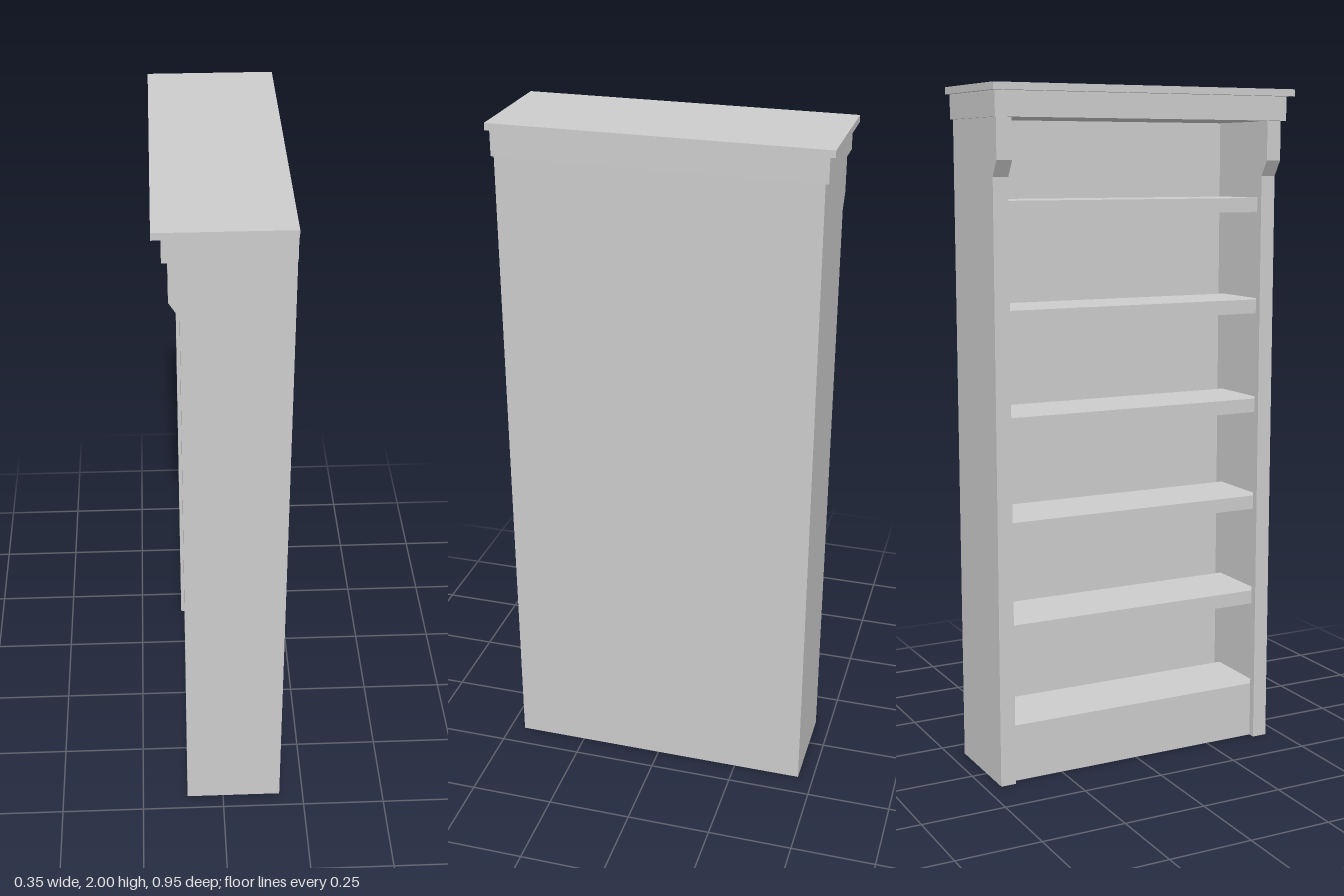
import * as THREE from 'three';

export function createModel() {
  const group = new THREE.Group();
  const paint = new THREE.MeshStandardMaterial({ color: 0xcccccc });
  paint.name = 'pale grey paint';

  const add = (name, geometry) => {
    const mesh = new THREE.Mesh(geometry, paint);
    mesh.name = name;
    group.add(mesh);
    return mesh;
  };
  // Box given by its limits on each axis
  const box = (name, x0, x1, y0, y1, z0, z1) =>
    add(name, new THREE.BoxGeometry(x1 - x0, y1 - y0, z1 - z0))
      .position.set((x0 + x1) / 2, (y0 + y1) / 2, (z0 + z1) / 2);

  const halfWidth = 0.454, inner = 0.431, postWidth = 0.046;
  const postFront = -0.111, shelfFront = -0.09, shelfBack = 0.137;
  const panelFront = 0.168, back = 0.177, corniceY = 1.91;

  // Front post profile with the corbel that widens under the cornice
  const postShape = new THREE.Shape([
    [shelfFront, 0], [shelfFront, corniceY], [-0.139, corniceY],
    [-0.139, 1.795], [postFront, 1.75], [postFront, 0],
  ].map(([x, y]) => new THREE.Vector2(x, y)));

  // Side panels and posts, mirrored
  for (const s of [-1, 1]) {
    const side = s > 0 ? 'Front' : 'Rear';
    box('sidePanel' + side, shelfFront, panelFront, 0, corniceY,
      Math.min(s * inner, s * halfWidth), Math.max(s * inner, s * halfWidth));
    const post = add('post' + side,
      new THREE.ExtrudeGeometry(postShape, { depth: postWidth, bevelEnabled: false }));
    post.position.z = s > 0 ? halfWidth - postWidth : -halfWidth;
  }

  // Thin panel closing the back, with a gap behind the shelves
  box('backPanel', panelFront, back, 0, corniceY, -halfWidth, halfWidth);

  // Solid plinth and five evenly spaced shelves
  box('plinth', shelfFront, shelfBack, 0, 0.17, -inner, inner);
  for (let i = 1; i <= 5; i++) {
    const top = 0.17 + i * 0.303;
    box('shelf' + i, shelfFront, shelfBack, top - 0.042, top, -inner, inner);
  }

  // Stepped cornice
  box('frieze', -0.154, back, corniceY, 1.98, -0.463, 0.463);
  box('topBoard', -0.178, back, 1.98, 2, -0.477, 0.477);

  return group;
}
